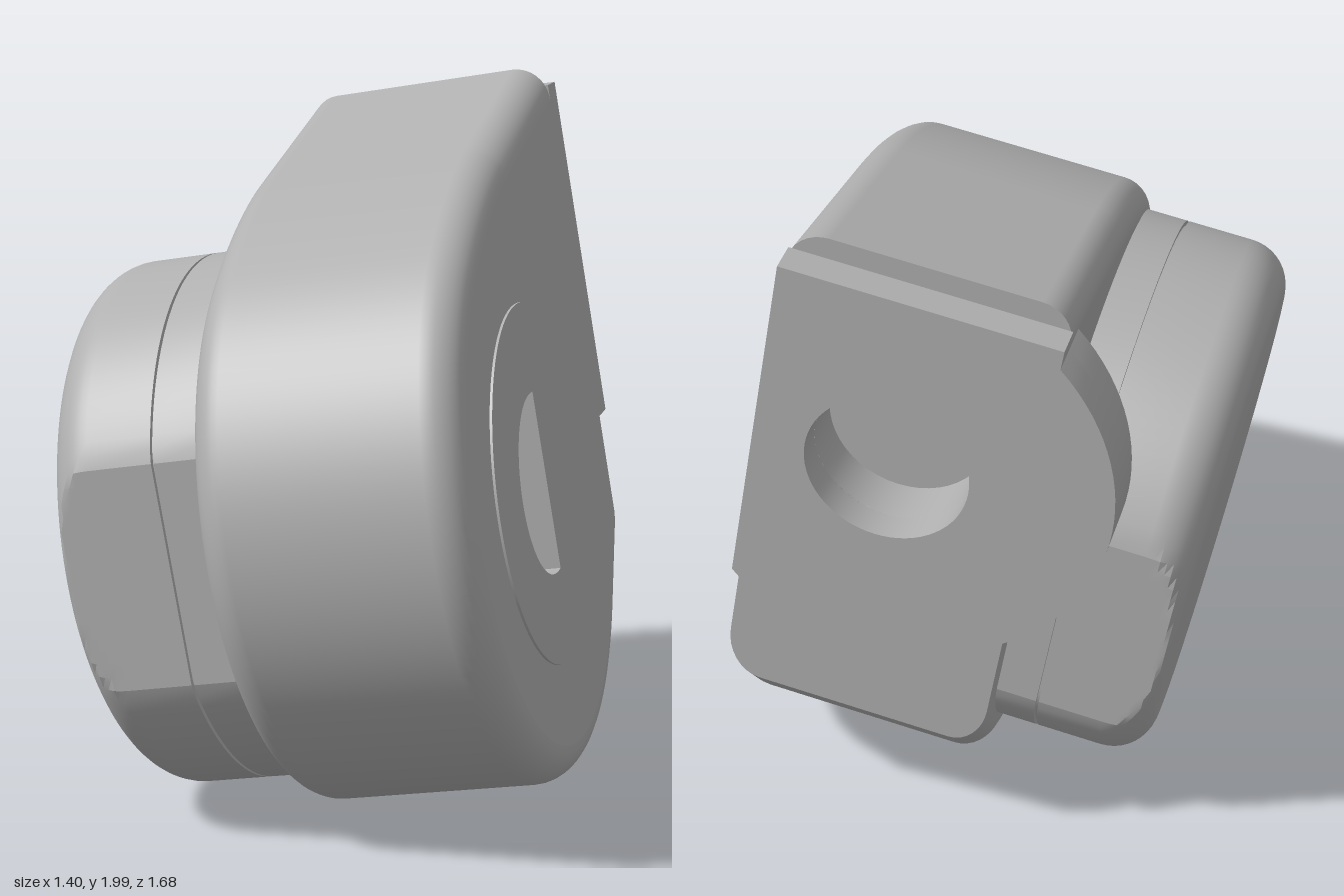
import * as THREE from 'three';
import { toCreasedNormals } from 'three/addons/utils/BufferGeometryUtils.js';

const DEG = Math.PI / 180;
const BACK = -0.755;              // z of the flat mounting face
const AXIS = { y: 0.835, z: 0.04 }; // shared axis of knob and side disc
const V = (x, y) => new THREE.Vector2(x, y);

// Housing side profile as (z, y) points, inset by d: foot line, round front, sloped roof
function profile(d) {
  const r = 0.84 - d, pts = [], a0 = -137 * DEG, a1 = 60 * DEG, n = 64;
  const arc = a => V(r * Math.cos(a), 0.835 + r * Math.sin(a));
  const p = arc(a0);
  pts.push(V(BACK, p.y + (p.x - BACK) * Math.tan(47 * DEG)));
  for (let i = 0; i <= n; i++) pts.push(arc(a0 + (a1 - a0) * i / n));
  const q = arc(a1), k = Math.tan(30 * DEG), roof = 1.75 - 1.025 * d;
  const zc = (q.y + k * q.x - roof) / (k - 0.225);
  const roofAt = z => V(z, roof - 0.225 * z);
  const bend = new THREE.QuadraticBezierCurve(q, roofAt(zc), roofAt(zc - 0.25));
  pts.push(...bend.getPoints(12).slice(1), roofAt(BACK));
  return pts;
}

// Rings across the housing width with rounded rims: [x, inset]
function housingRings() {
  const rings = [], n = 8, rl = 0.09, rr = 0.1, x0 = -0.02, x1 = 0.72;
  for (let i = 0; i <= n; i++) {
    const a = i / n * Math.PI / 2;
    rings.push([x0 + rl * (1 - Math.cos(a)), rl * (1 - Math.sin(a))]);
  }
  for (let i = 0; i <= n; i++) {
    const a = i / n * Math.PI / 2;
    rings.push([x1 - rr * (1 - Math.sin(a)), rr * (1 - Math.cos(a))]);
  }
  return rings;
}

function loft(rings) {
  const pos = [], idx = [];
  let m = 0;
  for (const [x, d] of rings) {
    const p = profile(d);
    m = p.length;
    for (const q of p) pos.push(x, q.y, q.x);
  }
  for (let j = 0; j < rings.length - 1; j++)
    for (let i = 0; i < m - 1; i++) {
      const a = j * m + i, b = a + m;
      idx.push(a, b, a + 1, b, b + 1, a + 1);
    }
  const g = new THREE.BufferGeometry();
  g.setAttribute('position', new THREE.Float32BufferAttribute(pos, 3));
  g.setIndex(idx);
  g.computeVertexNormals();
  return g;
}

function circleHole(shape, x, y, r) {
  const h = new THREE.Path();
  h.absarc(x, y, r, 0, Math.PI * 2, true);
  shape.holes.push(h);
  return shape;
}

// Turned part along x with two flats cut front and back
function turned(points, flat) {
  const g = new THREE.LatheGeometry(points, 120);
  const p = g.attributes.position;
  for (let i = 0; i < p.count; i++) p.setZ(i, Math.max(-flat, Math.min(flat, p.getZ(i))));
  const out = toCreasedNormals(g, 0.3);
  out.rotateZ(-Math.PI / 2);
  out.translate(0, AXIS.y, AXIS.z);
  return out;
}

export function createModel() {
  const grey = new THREE.MeshStandardMaterial({ color: 0xb0b0b0, side: THREE.DoubleSide });
  grey.name = 'plain grey';
  const model = new THREE.Group();
  const tilted = new THREE.Group();
  tilted.name = 'tiltedAssembly';
  tilted.rotation.z = 10 * DEG;
  model.add(tilted);
  const add = (name, geo) => {
    const m = new THREE.Mesh(geo, grey);
    m.name = name;
    tilted.add(m);
    return m;
  };
  // Shapes drawn as (-z, y) face +x; shapes drawn as (-x, y) face -z
  const sideways = (name, geo, x) => {
    const m = add(name, geo);
    m.rotation.y = Math.PI / 2;
    m.position.x = x;
  };
  const backward = (name, geo, z) => {
    const m = add(name, geo);
    m.rotation.y = Math.PI;
    m.position.z = z;
  };
  const mirror = pts => new THREE.Shape(pts.map(p => V(-p.x, p.y)));

  // Housing
  const rings = housingRings();
  add('housingShell', loft(rings));
  sideways('housingInnerFace', new THREE.ShapeGeometry(mirror(profile(0.09))), -0.02);
  sideways('housingOuterFace', new THREE.ShapeGeometry(
    circleHole(mirror(profile(0.1)), -AXIS.z, AXIS.y, 0.5), 48), 0.72);
  const low = [], high = [];
  for (const [x, d] of rings) {
    const p = profile(d);
    low.push(V(x, p[0].y));
    high.unshift(V(x, p[p.length - 1].y));
  }
  const hole = { x: 0.36, y: 1.34, r: 0.22 };
  backward('housingBackFace', new THREE.ShapeGeometry(
    circleHole(mirror([...low, ...high]), -hole.x, hole.y, hole.r), 32), BACK);

  // Side disc with a half-round recess
  const disc = new THREE.Shape();
  disc.absarc(-AXIS.z, AXIS.y, 0.505, 0, Math.PI * 2);
  const half = new THREE.Path();
  const cut = Math.acos(0.03 / 0.255);
  half.absarc(-AXIS.z, AXIS.y, 0.255, cut, Math.PI * 2 - cut, false);
  half.closePath();
  disc.holes.push(half);
  sideways('sideDisc', toCreasedNormals(new THREE.ExtrudeGeometry(disc,
    { depth: 0.127, bevelEnabled: false, curveSegments: 48 }), 0.5), 0.6);
  const floor = new THREE.CircleGeometry(0.3, 48);
  floor.translate(-AXIS.z, AXIS.y, 0);
  sideways('recessFloor', floor, 0.605);

  // Knob: rounded cap, thin groove, base collar
  const R = 0.75, f = 0.13, cap = [V(0, -0.455)];
  for (let i = 0; i <= 10; i++) {
    const a = i / 10 * Math.PI / 2;
    cap.push(V(R - f + f * Math.sin(a), -0.455 + f * (1 - Math.cos(a))));
  }
  cap.push(V(R, -0.141), V(0, -0.141));
  add('knobCap', turned(cap, 0.68));
  add('knobGroove', turned([V(0.735, -0.15), V(0.735, -0.12)], 0.665));
  add('knobCollar', turned([V(0, -0.133), V(R, -0.133), V(R, 0)], 0.68));

  // Mounting plate: rounded bulge, small prong, notched lower edge
  const arc = [];
  for (let i = 0; i <= 30; i++) {
    const a = (129.3 + (235 - 129.3) * i / 30) * DEG;
    arc.push(V(hole.x + 0.6 * Math.cos(a), hole.y + 0.6 * Math.sin(a)));
  }
  const edge = [V(0.05, 0.71), V(0.1, 0.7), V(0.12, 0.74), V(0.14, 0.84), V(0.2, 0.86),
    V(0.26, 0.84), V(0.32, 0.8), V(0.5, 0.8), V(0.53, 0.78), V(0.55, 0.7),
    V(0.72, 0.855), V(0.72, 1.86), V(-0.02, 1.86)];
  const plate = circleHole(mirror([...arc, ...edge]), -hole.x, hole.y, hole.r);
  backward('mountingPlate', toCreasedNormals(new THREE.ExtrudeGeometry(plate,
    { depth: 0.09, bevelEnabled: false, curveSegments: 32 }), 0.4), BACK);
  backward('plateBulge', toCreasedNormals(new THREE.ExtrudeGeometry(
    mirror(arc.filter(p => p.x < 0)), { depth: 0.095, bevelEnabled: false }), 0.4), -0.66);

  // Blind hole behind the plate
  const pocket = toCreasedNormals(new THREE.LatheGeometry(
    [V(hole.r, 0), V(hole.r, 0.13), V(0, 0.13)], 48), 0.5);
  pocket.rotateX(Math.PI / 2);
  pocket.translate(hole.x, hole.y, BACK);
  add('mountingHole', pocket);

  return model;
}
